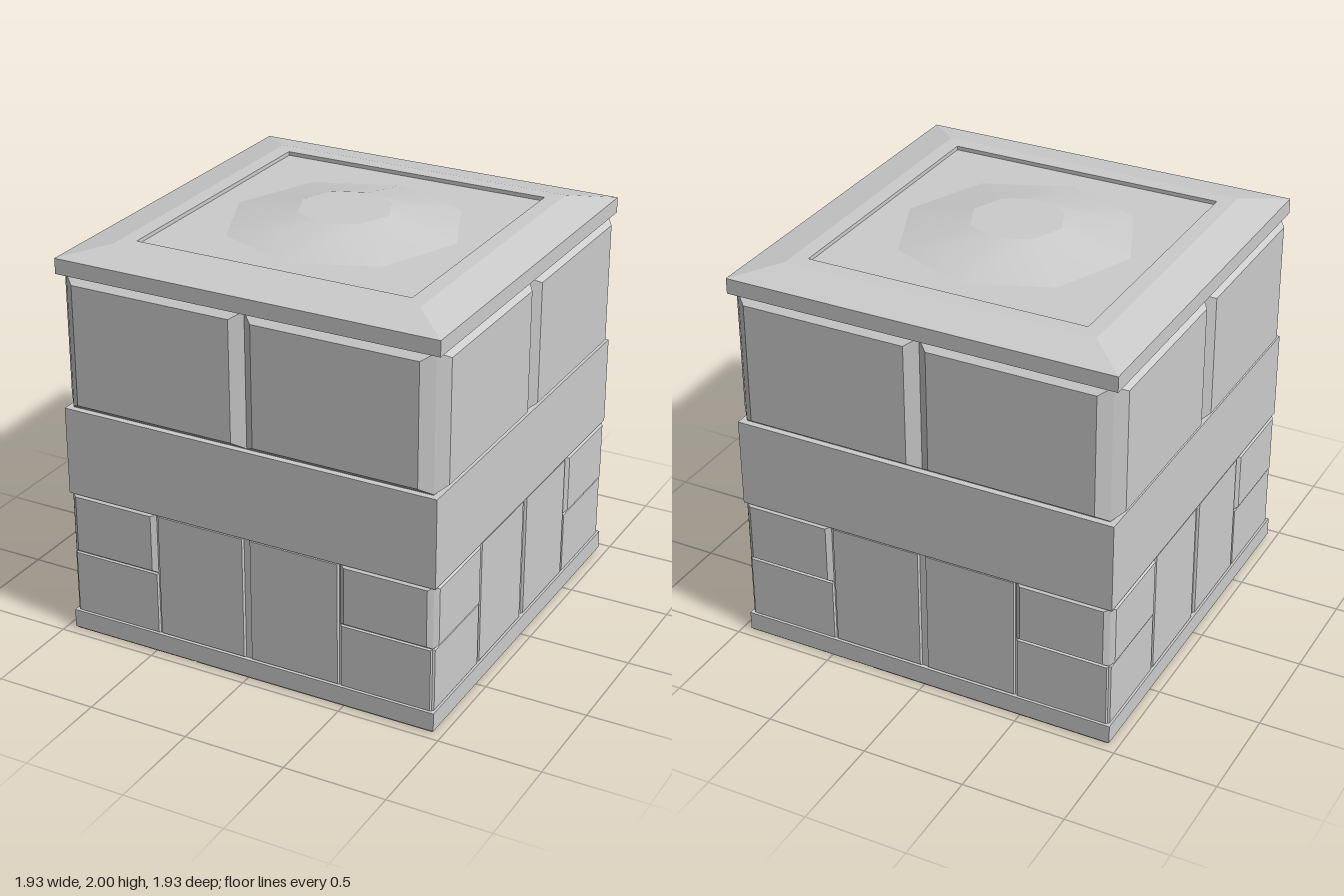
import * as THREE from 'three';

const material = new THREE.MeshStandardMaterial({ color: 0xcccccc });

function part(name, geometry, parent) {
  const mesh = new THREE.Mesh(geometry, material);
  mesh.name = name;
  parent.add(mesh);
  return mesh;
}

function flat(geometry) {
  const g = geometry.index ? geometry.toNonIndexed() : geometry;
  g.computeVertexNormals();
  return g;
}

// Square block, half-width r, between two heights
function block(name, r, y0, y1, parent) {
  part(name, new THREE.BoxGeometry(2 * r, y1 - y0, 2 * r), parent).position.y = (y0 + y1) / 2;
}

// Stone slab on the +z side whose front face is inset by a bevel
function slab(name, x0, x1, y0, y1, back, face, bevelX, bevelY, parent) {
  const g = new THREE.BoxGeometry(x1 - x0, y1 - y0, face - back);
  const p = g.attributes.position;
  for (let i = 0; i < p.count; i++) {
    if (p.getZ(i) > 0) {
      p.setX(i, p.getX(i) - Math.sign(p.getX(i)) * bevelX);
      p.setY(i, p.getY(i) - Math.sign(p.getY(i)) * bevelY);
    }
  }
  g.translate((x0 + x1) / 2, (y0 + y1) / 2, (face + back) / 2);
  part(name, flat(g), parent);
}

// Thin paving tile on the underside, outline given as [x, z] corners
function floorTile(name, corners, parent) {
  const n = corners.length;
  const cx = corners.reduce((s, c) => s + c[0], 0) / n;
  const cz = corners.reduce((s, c) => s + c[1], 0) / n;
  const k = 0.985; // leaves a narrow joint
  const shape = new THREE.Shape(corners.map(
    ([x, z]) => new THREE.Vector2(cx + (x - cx) * k, cz + (z - cz) * k)));
  const g = new THREE.ExtrudeGeometry(shape, { depth: 0.008, bevelEnabled: false });
  g.rotateX(Math.PI / 2).translate(0, 0.008, 0);
  part(name, g, parent);
}

export function createModel() {
  const model = new THREE.Group();
  model.name = 'stonePedestal';

  // Solid courses
  block('plinth', 0.955, 0.008, 0.1, model);
  block('lowerCore', 0.935, 0.1, 0.73, model);
  block('middleBand', 0.95, 0.73, 1.167, model);
  block('upperCore', 0.919, 1.167, 1.83, model);

  // Slabs, the same on all four sides
  for (let i = 0; i < 4; i++) {
    const side = new THREE.Group();
    side.name = 'side' + (i + 1);
    side.rotation.y = i * Math.PI / 2;
    model.add(side);
    for (const s of [-1, 1]) {
      const add = (name, a, b, ...rest) =>
        slab(name, Math.min(s * a, s * b), Math.max(s * a, s * b), ...rest, side);
      add('upperSlab', 0, 0.92, 1.17, 1.83, 0.92, 0.966, 0.055, 0.034);
      add('innerSlab', 0.015, 0.473, 0.1, 0.728, 0.934, 0.947, 0.006, 0.006);
      add('cornerSlabTop', 0.479, 0.938, 0.422, 0.73, 0.938, 0.956, 0.024, 0.012);
      add('cornerSlabBottom', 0.479, 0.937, 0.1, 0.418, 0.934, 0.946, 0.006, 0.004);
    }
  }

  // Lid with sloped border and sunken square top
  const profile = [[0, 1.83], [0.955, 1.83], [0.955, 1.905], [0.765, 1.945],
    [0.69, 1.945], [0.69, 1.926], [0, 1.926]]
    .map(([r, y]) => new THREE.Vector2(r * Math.SQRT2, y));
  const lid = new THREE.LatheGeometry(profile, 4);
  part('lid', flat(lid.rotateY(Math.PI / 4)), model);

  // Low eight-sided boss
  const boss = new THREE.CylinderGeometry(0.225, 0.565, 0.074, 8);
  part('boss', boss, model).position.y = 1.963;

  // Underside paving: a diamond in the middle, four corner tiles around it
  const turn = ([x, z], k) => (k ? turn([-z, x], k - 1) : [x, z]);
  const a = [0, -0.565], b = [0.29, -0.955];
  floorTile('centreTile', [0, 1, 2, 3].map((k) => turn(a, k)), model);
  for (let k = 0; k < 4; k++) {
    const corners = [a, b, [0.955, -0.955], turn(b, 1), turn(a, 1)];
    floorTile('cornerTile', corners.map((c) => turn(c, k)), model);
  }
  return model;
}
